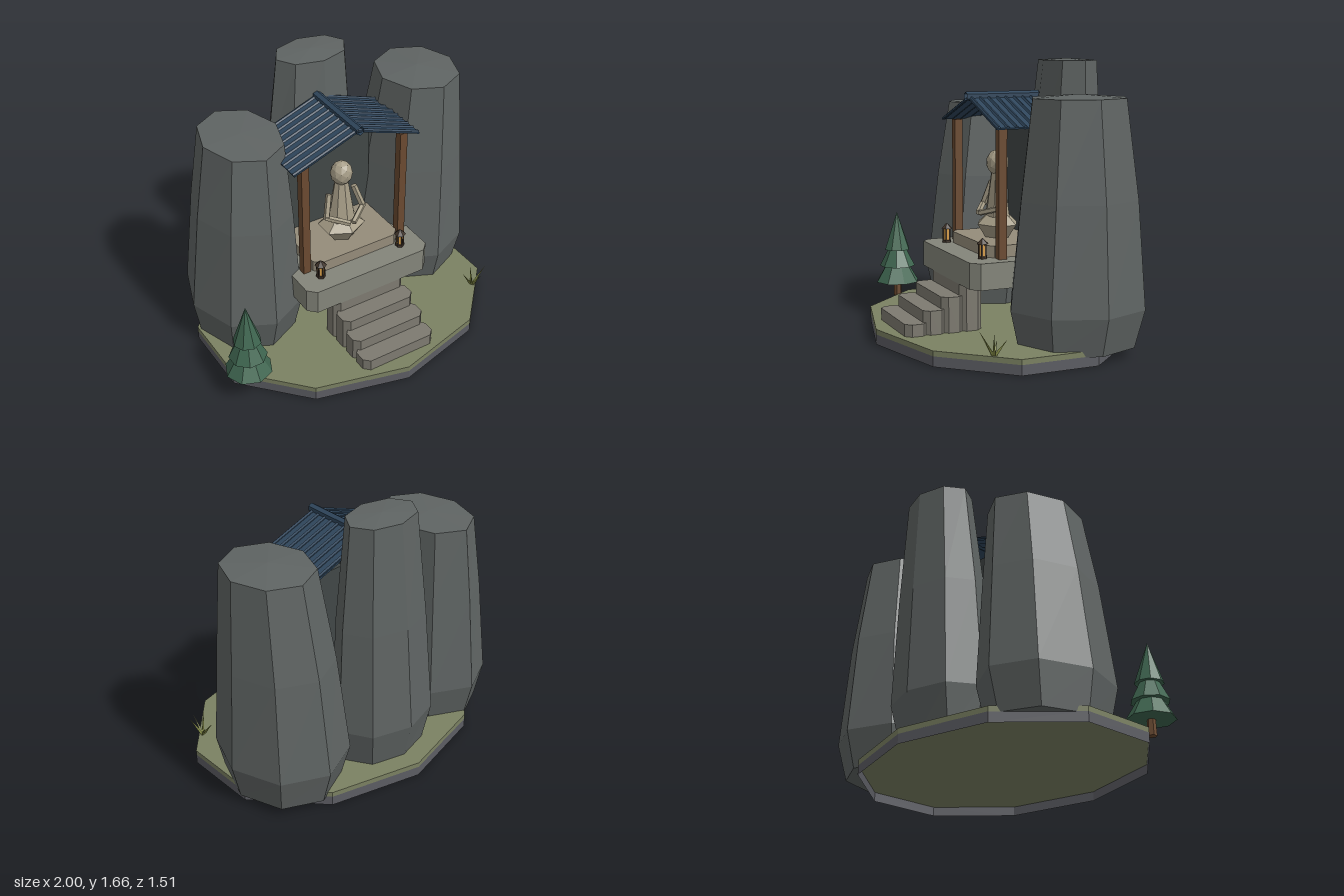
import * as THREE from 'three';

const mat = (color, side = THREE.FrontSide) =>
  new THREE.MeshStandardMaterial({ color, flatShading: true, side });
const M = {
  rock: mat(0x5f6463), base: mat(0x5c5d63, THREE.DoubleSide), grass: mat(0x7b8162),
  slab: mat(0x84857a), step: mat(0x7d7a70), tan: mat(0x958c7a), wood: mat(0x6b4a30),
  wall: mat(0x414746), roof: mat(0x2f465c, THREE.DoubleSide), statue: mat(0xa59c86),
  dark: mat(0x40342a), glow: mat(0xd9a04a), leaf: mat(0x3f6650), blade: mat(0x7d8442, THREE.DoubleSide),
};

export function createModel() {
  const model = new THREE.Group();

  const add = (name, geo, material, x = 0, y = 0, z = 0, parent = model) => {
    const mesh = new THREE.Mesh(geo, material);
    mesh.name = name;
    mesh.position.set(x, y, z);
    parent.add(mesh);
    return mesh;
  };
  const group = (name, x = 0, y = 0, z = 0) => {
    const g = new THREE.Group();
    g.name = name;
    g.position.set(x, y, z);
    model.add(g);
    return g;
  };
  const cyl = (rt, rb, h, n, open = false) => new THREE.CylinderGeometry(rt, rb, h, n, 1, open);

  // Faceted column through elliptical rings [y, cx, cz, rx, rz], closed at both ends
  const loft = (rings, n, topRise) => {
    const pos = [];
    const pt = ([y, cx, cz, rx, rz], i) => {
      const a = (i / n) * Math.PI * 2;
      return [cx + rx * Math.sin(a), y, cz + rz * Math.cos(a)];
    };
    const first = rings[0], last = rings[rings.length - 1];
    for (let i = 0; i < n; i++) {
      for (let r = 0; r < rings.length - 1; r++) {
        const a = pt(rings[r], i), b = pt(rings[r], i + 1);
        const c = pt(rings[r + 1], i + 1), d = pt(rings[r + 1], i);
        pos.push(...a, ...b, ...c, ...a, ...c, ...d);
      }
      pos.push(last[1], last[0] + topRise, last[2], ...pt(last, i), ...pt(last, i + 1));
      pos.push(first[1], first[0], first[2], ...pt(first, i + 1), ...pt(first, i));
    }
    const geo = new THREE.BufferGeometry();
    geo.setAttribute('position', new THREE.Float32BufferAttribute(pos, 3));
    geo.computeVertexNormals();
    return geo;
  };

  // Slab with cut corners, its bottom at y = 0
  const cutSlab = (w, h, d, c) => {
    const x = w / 2, z = d / 2;
    const s = new THREE.Shape([[-x + c, -z], [x - c, -z], [x, -z + c], [x, z - c],
      [x - c, z], [-x + c, z], [-x, z - c], [-x, -z + c]].map(p => new THREE.Vector2(...p)));
    return new THREE.ExtrudeGeometry(s, { depth: h, bevelEnabled: false }).rotateX(-Math.PI / 2);
  };

  // Bar between two points
  const bar = (name, a, b, r, n, material, parent) => {
    const p = new THREE.Vector3(...a), q = new THREE.Vector3(...b);
    const mesh = add(name, cyl(r, r, p.distanceTo(q), n), material, 0, 0, 0, parent);
    mesh.position.copy(p).lerp(q, 0.5);
    mesh.quaternion.setFromUnitVectors(new THREE.Vector3(0, 1, 0), q.sub(p).normalize());
    return mesh;
  };

  // Island: open rock rim under a grass plate
  add('islandRim', cyl(1, 1, 0.06, 10, true).scale(0.96, 1, 0.755), M.base, -0.005, 0.03, 0);
  add('grassPlate', cyl(1, 1, 0.034, 10).scale(0.96, 1, 0.755), M.grass, -0.005, 0.074, 0);

  // Standing rocks
  add('leftRock', loft([
    [0.058, 0.62, -0.24, 0.32, 0.36], [0.28, 0.62, -0.245, 0.375, 0.415],
    [0.9, 0.645, -0.24, 0.315, 0.36], [1.465, 0.67, -0.22, 0.25, 0.285]], 8, 0.02), M.rock);
  add('rightRock', loft([
    [0.058, -0.6, -0.21, 0.3, 0.36], [0.3, -0.595, -0.21, 0.345, 0.42],
    [0.92, -0.57, -0.22, 0.29, 0.365], [1.38, -0.545, -0.235, 0.235, 0.31]], 8, 0.01), M.rock);
  add('rearRock', loft([
    [0.058, 0, -0.44, 0.29, 0.19], [0.33, 0.01, -0.445, 0.345, 0.25],
    [1.0, 0.035, -0.445, 0.3, 0.215], [1.655, 0.06, -0.455, 0.235, 0.16]], 8, 0.01), M.rock);

  // Steps and platform
  for (let i = 0; i < 4; i++) {
    const h = 0.105 + i * 0.07;
    add('step', cutSlab(0.5, h, 0.14, 0.035), M.step, 0.002, 0.058, 0.585 - i * 0.112);
  }
  add('platform', cutSlab(0.86, 0.155, 0.64, 0.05), M.slab, 0.007, 0.37, 0);
  add('upperPlatform', cutSlab(0.6, 0.07, 0.48, 0.04), M.tan, 0.007, 0.525, -0.07);

  // Shrine walls, posts and gable roof
  add('backWall', new THREE.BoxGeometry(0.64, 0.76, 0.03), M.wall, 0.007, 0.905, -0.23);
  for (const s of [-1, 1]) {
    add('post', new THREE.BoxGeometry(0.05, 0.76, 0.05), M.wood, 0.007 + s * 0.338, 0.905, 0.105);
    const side = group('roofSide', 0, 1.438, -0.065);
    const angle = Math.atan2(0.155, 0.425), len = 0.452;
    side.rotation.z = s > 0 ? -angle : angle;
    add('roofSheet', new THREE.BoxGeometry(len, 0.01, 0.47), M.roof, s * len / 2, 0, 0, side);
    for (let i = 0; i < 9; i++) {
      const rib = cyl(0.012, 0.012, len, 5, true).rotateZ(Math.PI / 2);
      add('roofRib', rib, M.roof, s * len / 2, 0.003, -0.22 + i * 0.055, side);
    }
  }
  add('roofRidge', cyl(0.027, 0.027, 0.49, 6, true).rotateX(Math.PI / 2), M.roof, 0.003, 1.445, -0.06);

  // Seated statue
  const statue = group('statue', 0.003, 0, -0.02);
  add('crossedLegs', loft([[0.595, 0, 0, 0.085, 0.08], [0.675, 0, 0, 0.15, 0.13],
    [0.76, 0, 0, 0.04, 0.04]], 6, 0).rotateY(0), M.statue, 0, 0, 0, statue);
  add('torso', cyl(0.045, 0.092, 0.27, 8).scale(1, 1, 0.8), M.statue, 0, 0.855, 0, statue);
  add('head', new THREE.IcosahedronGeometry(0.072, 1).scale(0.95, 1.1, 0.95), M.statue, 0, 1.045, 0, statue);
  for (const s of [-1, 1]) {
    bar('upperArm', [s * 0.088, 0.92, 0], [s * 0.13, 0.775, 0.04], 0.02, 5, M.statue, statue);
    bar('forearm', [s * 0.135, 0.785, 0.035], [s * 0.01, 0.745, 0.12], 0.018, 5, M.statue, statue);
  }

  // Lanterns
  for (const x of [-0.28, 0.29]) {
    const lantern = group('lantern', x, 0.525, 0.2);
    add('lanternBase', cyl(0.029, 0.029, 0.014, 6), M.dark, 0, 0.007, 0, lantern);
    add('lanternGlow', cyl(0.019, 0.019, 0.075, 6), M.glow, 0, 0.05, 0, lantern);
    for (let i = 0; i < 6; i++) {
      const a = (i * Math.PI) / 3;
      add('lanternBar', new THREE.BoxGeometry(0.007, 0.075, 0.007), M.dark,
        0.022 * Math.sin(a), 0.05, 0.022 * Math.cos(a), lantern);
    }
    add('lanternCap', new THREE.ConeGeometry(0.037, 0.035, 6), M.dark, 0, 0.104, 0, lantern);
  }

  // Conifer
  const tree = group('tree', -0.857, 0, 0.33);
  add('trunk', cyl(0.022, 0.028, 0.14, 6), M.wood, 0, 0.15, 0, tree);
  [[0.143, 0.175, 0.24], [0.115, 0.28, 0.23], [0.085, 0.39, 0.25]].forEach(([r, y, h], i) => {
    const tier = add('foliage', new THREE.ConeGeometry(r, h, 8), M.leaf, 0, y + h / 2, 0, tree);
    tier.rotation.y = i * 0.4;
  });

  // Grass tuft
  const tuft = group('grassTuft', 0.78, 0.085, 0.34);
  [[0.07, 0.145, 0.03], [-0.06, 0.13, 0.06], [0.03, 0.1, -0.07], [-0.05, 0.08, -0.04], [0.01, 0.12, 0.07]]
    .forEach(([x, y, z]) => {
      const blade = add('grassBlade', new THREE.ConeGeometry(0.011, Math.hypot(x, y, z), 3), M.blade,
        x / 2, y / 2, z / 2, tuft);
      blade.quaternion.setFromUnitVectors(new THREE.Vector3(0, 1, 0), new THREE.Vector3(x, y, z).normalize());
    });

  return model;
}
